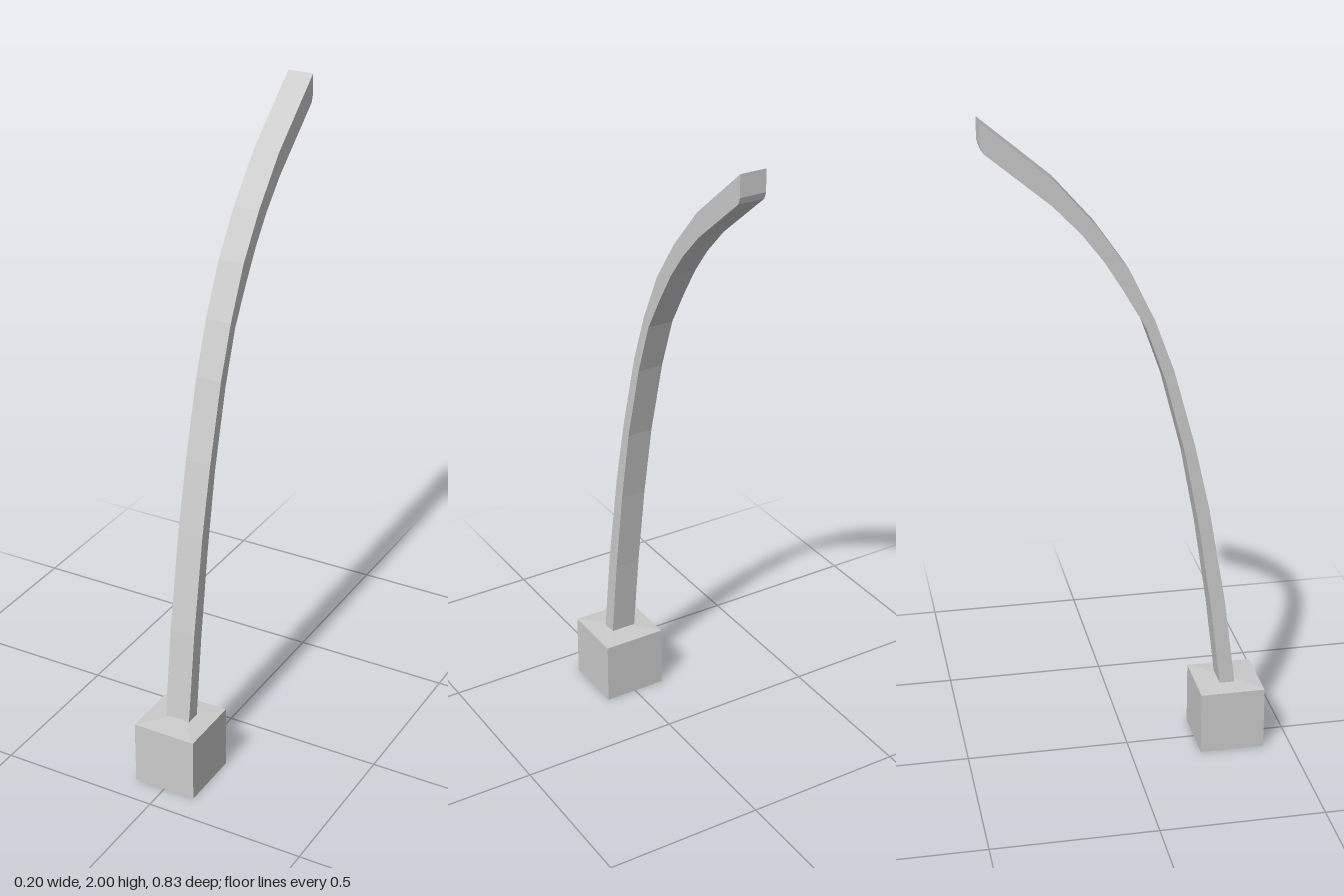
import * as THREE from 'three';

export function createModel() {
  const group = new THREE.Group();
  const material = new THREE.MeshStandardMaterial({ color: 0xcccccc, flatShading: true });
  const add = (name, geometry) => {
    const mesh = new THREE.Mesh(geometry, material);
    mesh.name = name;
    group.add(mesh);
    return mesh;
  };

  const baseZ = 0.314;

  // Cube foot
  add('base', new THREE.BoxGeometry(0.2, 0.2, 0.2)).position.set(0, 0.1, baseZ);

  // Very low four-sided cap on the foot
  const cap = new THREE.ConeGeometry(0.1 * Math.SQRT2, 0.008, 4, 1, true);
  cap.rotateY(Math.PI / 4);
  add('baseCap', cap).position.set(0, 0.204, baseZ);

  // Curved post: side profile as [z, y], up the front edge and down the back edge
  const front = [
    [0.333, 0.2], [0.296, 0.49], [0.243, 0.8], [0.196, 1.01], [0.132, 1.247],
    [0.074, 1.406], [0, 1.56], [-0.09, 1.69], [-0.208, 1.825], [-0.414, 2],
  ];
  const back = [
    [0.286, 0.2], [0.254, 0.467], [0.213, 0.74], [0.169, 0.976], [0.106, 1.22],
    [0.048, 1.385], [-0.016, 1.497], [-0.074, 1.59], [-0.137, 1.672],
    [-0.217, 1.756], [-0.407, 1.915], [-0.414, 1.935],
  ];
  const outline = [...front, ...back.reverse()].map(([z, y]) => new THREE.Vector2(-z, y));
  const post = new THREE.ExtrudeGeometry(new THREE.Shape(outline), { depth: 0.08, bevelEnabled: false });
  post.translate(0, 0, -0.04);
  post.rotateY(Math.PI / 2);
  add('curvedPost', post);

  return group;
}
